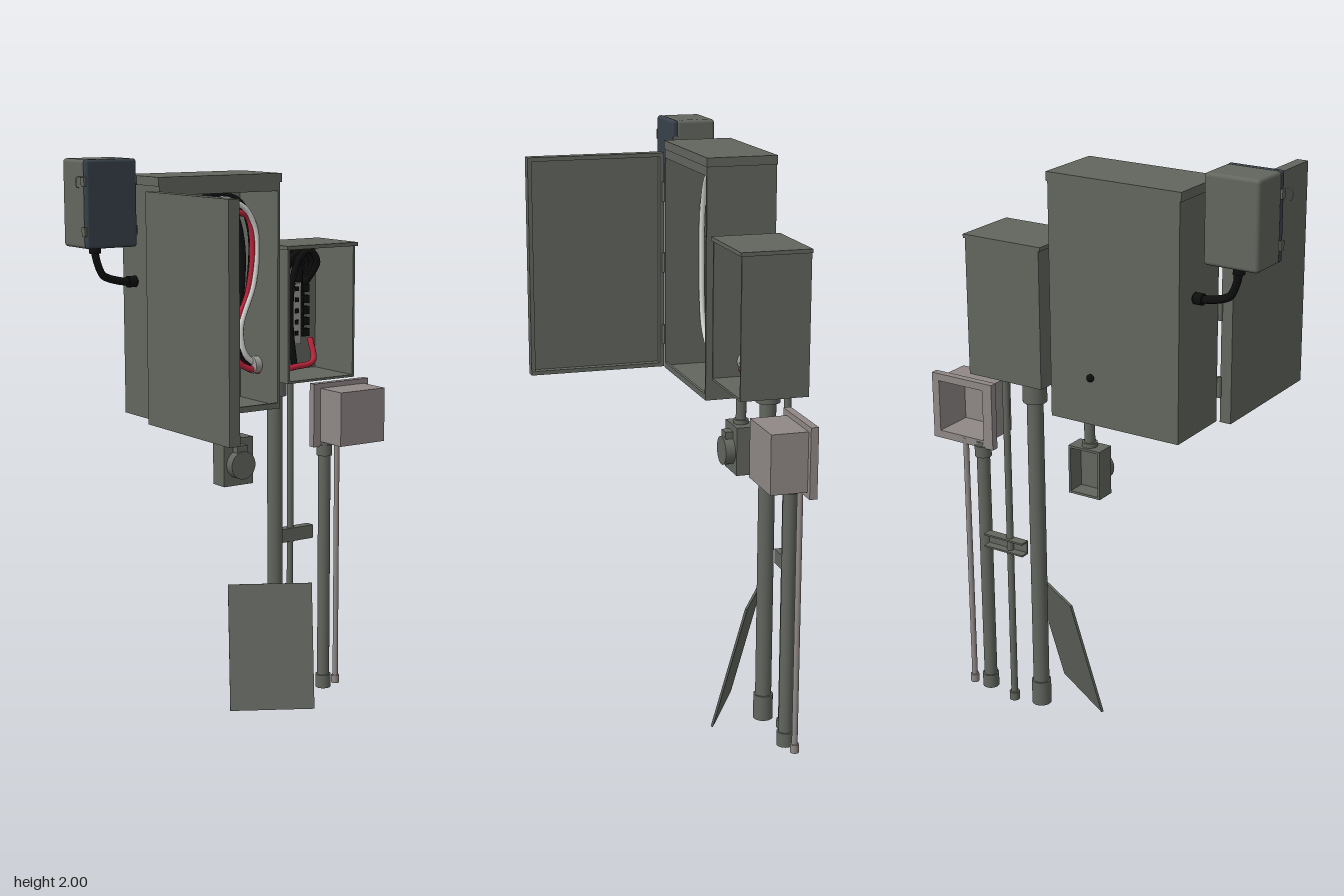
import * as THREE from 'three';
import { RoundedBoxGeometry } from 'three/addons/geometries/RoundedBoxGeometry.js';

const mat = (name, color) => {
  const m = new THREE.MeshStandardMaterial({ color });
  m.name = name;
  return m;
};

export function createModel() {
  const steel = mat('grey green steel', 0x62665e);
  const plastic = mat('warm grey plastic', 0x8f8886);
  const black = mat('black', 0x0e0e0e);
  const white = mat('white insulation', 0xd8d8d6);
  const red = mat('red insulation', 0xb8243a);
  const yellow = mat('yellow', 0xd2a81e);
  const navy = mat('dark blue grey', 0x38424b);
  const light = mat('light grey', 0x9c9a98);

  const model = new THREE.Group();

  const add = (name, geo, m, x, y, z, parent = model) => {
    const mesh = new THREE.Mesh(geo, m);
    mesh.name = name;
    mesh.position.set(x, y, z);
    parent.add(mesh);
    return mesh;
  };
  // box given by its extents
  const box = (name, m, x0, x1, y0, y1, z0, z1, parent = model) =>
    add(name, new THREE.BoxGeometry(x1 - x0, y1 - y0, z1 - z0), m, (x0 + x1) / 2, (y0 + y1) / 2, (z0 + z1) / 2, parent);
  // upright pipe
  const pipe = (name, m, x, z, y0, y1, r, parent = model) =>
    add(name, new THREE.CylinderGeometry(r, r, y1 - y0, 24), m, x, (y0 + y1) / 2, z, parent);
  // sheet box with walls of thickness t, open toward its local +z
  const openBox = (name, m, w, h, d, t, x, y, z, turn = 0) => {
    const g = new THREE.Group();
    g.name = name;
    for (const s of [-1, 1]) {
      add('sideWall', new THREE.BoxGeometry(t, h, d), m, s * (w - t) / 2, 0, 0, g);
      add('endWall', new THREE.BoxGeometry(w - 2 * t, t, d), m, 0, s * (h - t) / 2, 0, g);
    }
    add('panel', new THREE.BoxGeometry(w - 2 * t, h - 2 * t, t), m, 0, 0, (t - d) / 2, g);
    g.position.set(x, y, z);
    g.rotation.y = turn;
    model.add(g);
    return g;
  };
  const wire = (name, m, r, pts) => {
    const curve = new THREE.CatmullRomCurve3(pts.map(p => new THREE.Vector3(...p)), false, 'centripetal');
    return add(name, new THREE.TubeGeometry(curve, 56, r, 8), m, 0, 0, 0);
  };

  // main cabinet with front header and roof cap
  openBox('mainCabinet', steel, 0.48, 0.79, 0.24, 0.01, -0.125, 1.525, -0.237);
  box('cabinetRoof', steel, -0.37, 0.12, 1.91, 1.94, -0.358, -0.115);
  box('cabinetHeader', steel, -0.365, 0.115, 1.88, 1.912, -0.127, -0.117);
  box('cabinetSill', steel, -0.365, 0.115, 1.13, 1.15, -0.127, -0.117);

  // door swung open, inner side toward +x
  openBox('cabinetDoor', steel, 0.485, 0.765, 0.04, 0.014, -0.398, 1.513, 0.125, Math.PI / 2);
  for (const y of [1.25, 1.51, 1.76]) pipe('hinge', steel, -0.374, -0.118, y - 0.035, y + 0.035, 0.008);

  // smaller terminal cabinet
  openBox('sideCabinet', steel, 0.29, 0.475, 0.232, 0.008, 0.3, 1.4475, -0.242);
  box('sideCabinetLid', steel, 0.149, 0.453, 1.677, 1.69, -0.358, -0.12);

  // nipple joining the cabinets
  const nipple = pipe('cabinetNipple', light, 0.135, -0.24, 1.22, 1.33, 0.03);
  nipple.rotation.z = Math.PI / 2;
  nipple.position.set(0.135, 1.27, -0.24);
  add('rearPlug', new THREE.SphereGeometry(0.013, 12, 8), black, -0.04, 1.29, -0.36);

  // breaker assembly in the main cabinet
  box('breakerBase', black, -0.25, 0.035, 1.5, 1.69, -0.347, -0.315);
  box('breakerBody', black, -0.2, 0, 1.49, 1.67, -0.32, -0.265);
  box('lowerBreaker', black, -0.2, 0, 1.32, 1.5, -0.347, -0.28);
  box('breakerLabel', light, -0.12, 0.012, 1.462, 1.52, -0.285, -0.225);
  for (let i = 0; i < 4; i++) {
    const x = -0.178 + i * 0.052;
    box('breakerSwitch', black, x - 0.012, x + 0.012, 1.54, 1.64, -0.27, -0.252);
    box('breakerFoot', black, x - 0.014, x + 0.014, 1.29, 1.33, -0.347, -0.3);
  }
  for (const x of [-0.245, 0.03])
    for (const y of [1.53, 1.59, 1.65]) box('terminalLug', black, x - 0.014, x + 0.014, y - 0.016, y + 0.016, -0.34, -0.295);
  for (const x of [-0.175, -0.055]) box('smallTerminal', light, x - 0.01, x + 0.01, 1.38, 1.41, -0.285, -0.274);
  for (const x of [-0.172, -0.072]) box('yellowTerminal', yellow, x - 0.018, x + 0.018, 1.655, 1.7, -0.31, -0.258);

  // cabinet wiring
  const blackRuns = [
    [[-0.23, 1.66, -0.3], [-0.25, 1.76, -0.3], [-0.29, 1.82, -0.29], [-0.33, 1.72, -0.28], [-0.345, 1.45, -0.28],
      [-0.335, 1.24, -0.28], [-0.27, 1.16, -0.28], [-0.12, 1.155, -0.28], [-0.05, 1.18, -0.28], [-0.03, 1.26, -0.28]],
    [[-0.205, 1.67, -0.3], [-0.21, 1.79, -0.29], [-0.26, 1.85, -0.28], [-0.32, 1.8, -0.27]],
    [[-0.17, 1.69, -0.28], [-0.16, 1.8, -0.27], [-0.09, 1.86, -0.26], [0.04, 1.84, -0.26], [0.09, 1.74, -0.26],
      [0.085, 1.55, -0.26], [0.04, 1.38, -0.26], [0.08, 1.28, -0.25], [0.18, 1.26, -0.24]],
    [[-0.14, 1.67, -0.3], [-0.13, 1.78, -0.29], [-0.06, 1.83, -0.28], [0.03, 1.8, -0.28], [0.065, 1.7, -0.28],
      [0.06, 1.5, -0.28], [0.02, 1.36, -0.27], [0.07, 1.26, -0.25], [0.18, 1.25, -0.25]],
    [[-0.18, 1.3, -0.31], [-0.17, 1.25, -0.29], [-0.1, 1.23, -0.28], [-0.03, 1.27, -0.28]],
    [[-0.02, 1.66, -0.3], [0, 1.74, -0.3], [0.05, 1.75, -0.3], [0.07, 1.62, -0.31], [0.05, 1.45, -0.31], [0, 1.32, -0.3]],
  ];
  blackRuns.forEach(p => wire('blackWire', black, 0.013, p));
  const whiteRuns = [
    [[-0.13, 1.68, -0.29], [-0.13, 1.79, -0.28], [-0.17, 1.85, -0.26], [-0.28, 1.83, -0.25], [-0.34, 1.72, -0.25],
      [-0.35, 1.45, -0.25], [-0.325, 1.28, -0.25], [-0.25, 1.21, -0.25], [-0.12, 1.205, -0.25], [-0.05, 1.24, -0.25], [-0.03, 1.29, -0.25]],
    [[-0.1, 1.68, -0.29], [-0.1, 1.79, -0.27], [-0.05, 1.85, -0.25], [0.05, 1.82, -0.24], [0.1, 1.73, -0.24],
      [0.09, 1.56, -0.24], [0.035, 1.4, -0.24], [0.06, 1.3, -0.24], [0.14, 1.26, -0.24], [0.21, 1.27, -0.25], [0.24, 1.3, -0.27]],
  ];
  whiteRuns.forEach(p => wire('whiteWire', white, 0.01, p));
  for (const x of [-0.125, -0.105]) wire('whiteLead', white, 0.009, [[x, 1.66, -0.28], [x, 1.74, -0.27], [x + 0.01, 1.82, -0.27]]);
  wire('redWire', red, 0.011, [[-0.072, 1.69, -0.27], [-0.06, 1.76, -0.26], [0, 1.8, -0.25], [0.07, 1.79, -0.25], [0.092, 1.68, -0.25],
    [0.07, 1.52, -0.25], [0.01, 1.38, -0.25], [0.03, 1.28, -0.24], [0.13, 1.245, -0.23], [0.25, 1.25, -0.22], [0.34, 1.265, -0.23], [0.355, 1.34, -0.27]]);
  const bushing = add('wireBushing', new THREE.TorusGeometry(0.02, 0.008, 8, 20), light, -0.045, 1.28, -0.27);
  bushing.rotation.x = 0.5;

  // terminal block and wiring in the side cabinet
  box('terminalBase', black, 0.24, 0.365, 1.34, 1.54, -0.35, -0.32);
  box('terminalStrip', light, 0.285, 0.325, 1.32, 1.54, -0.325, -0.285);
  for (let i = 0; i < 5; i++) {
    const y = 1.36 + i * 0.04;
    for (const x of [0.262, 0.345]) box('terminalScrew', black, x - 0.014, x + 0.014, y - 0.014, y + 0.014, -0.325, -0.28);
    box('terminalBar', black, 0.298, 0.312, y - 0.008, y + 0.008, -0.29, -0.28);
  }
  for (let i = 0; i < 4; i++) {
    const a = i * 0.02, z = -0.3 + i * 0.022;
    wire('terminalLoop', black, 0.012, [[0.2 + a, 1.25, z], [0.182 + a, 1.4, z], [0.19 + a, 1.55, z], [0.225 + a, 1.64, z],
      [0.29 + a * 0.6, 1.66, z], [0.34 + a * 0.3, 1.62, z], [0.35, 1.53, -0.3]]);
  }
  wire('innerLoop', black, 0.012, [[0.265, 1.53, -0.3], [0.27, 1.6, -0.29], [0.305, 1.62, -0.28], [0.33, 1.53, -0.3]]);
  pipe('hubBushing', light, 0.222, -0.3, 1.215, 1.25, 0.036);
  pipe('smallHubBushing', light, 0.315, -0.335, 1.215, 1.235, 0.014);

  // conduits with couplings: x, z, top, radius, coupling radius, foot height, material
  [
    [0.222, -0.3, 1.212, 0.028, 0.034, 0.09, steel],
    [0.315, -0.335, 1.212, 0.012, 0.018, 0.03, steel],
    [0.445, -0.3, 0.95, 0.023, 0.029, 0.05, steel],
    [0.51, -0.31, 0.95, 0.01, 0.015, 0.03, plastic],
  ].forEach(([x, z, top, r, rc, foot, m]) => {
    pipe('conduit', m, x, z, 0.003, top, r);
    pipe('conduitFoot', m, x, z, 0, foot, rc);
  });
  pipe('conduitHub', steel, 0.222, -0.3, 1.14, 1.212, 0.041);
  pipe('conduitHub', steel, 0.445, -0.3, 0.895, 0.935, 0.029);

  // strut channel holding the conduits
  box('strutWeb', steel, 0.25, 0.41, 0.58, 0.63, -0.328, -0.322);
  for (const y of [0.58, 0.624]) box('strutFlange', steel, 0.25, 0.41, y, y + 0.006, -0.357, -0.324);

  // plastic enclosure open at the back, with flange
  openBox('plasticBox', plastic, 0.2, 0.198, 0.15, 0.008, 0.52, 1.048, -0.243, Math.PI);
  for (const [x0, x1, y0, y1] of [[0.39, 0.425, 0.93, 1.165], [0.615, 0.64, 0.93, 1.165], [0.425, 0.615, 0.93, 0.955], [0.425, 0.615, 1.14, 1.165]])
    box('plasticFlange', plastic, x0, x1, y0, y1, -0.318, -0.292);

  // outlet box hanging under the cabinet, open at the back
  openBox('outletBox', steel, 0.122, 0.17, 0.07, 0.008, 0.023, 0.93, -0.275, Math.PI);
  pipe('outletStem', steel, 0.022, -0.275, 1.01, 1.135, 0.018);
  pipe('outletNut', steel, 0.022, -0.275, 1.01, 1.03, 0.026);
  const cover = pipe('outletCover', steel, 0, 0, 0, 0.035, 0.05);
  cover.rotation.x = Math.PI / 2;
  cover.position.set(0.022, 0.922, -0.223);
  box('coverHinge', steel, 0, 0.044, 0.965, 0.992, -0.24, -0.212);

  // weatherproof box with dark lid and clips
  add('controlBox', new RoundedBoxGeometry(0.188, 0.285, 0.14, 3, 0.012), steel, -0.517, 1.8575, -0.248);
  add('controlLid', new RoundedBoxGeometry(0.188, 0.285, 0.024, 3, 0.01), navy, -0.517, 1.8575, -0.173);
  for (const y of [1.77, 1.93]) {
    box('lidLatch', steel, -0.617, -0.605, y - 0.015, y + 0.015, -0.185, -0.165);
    box('lidLatch', steel, -0.429, -0.42, y - 0.015, y + 0.015, -0.185, -0.165);
  }
  wire('lockClip', light, 0.002, [[-0.61, 1.945, -0.165], [-0.64, 1.945, -0.17], [-0.64, 1.915, -0.17], [-0.632, 1.912, -0.17]]);

  // black cable from control box to cabinet
  wire('controlCable', black, 0.013, [[-0.522, 1.72, -0.27], [-0.52, 1.68, -0.27], [-0.497, 1.62, -0.27], [-0.48, 1.608, -0.27], [-0.42, 1.592, -0.27], [-0.35, 1.588, -0.27]]);
  pipe('cableGland', black, -0.522, -0.27, 1.69, 1.72, 0.019);
  const gland = pipe('cableGland', black, 0, 0, 0, 0.03, 0.019);
  gland.rotation.z = Math.PI / 2;
  gland.position.set(-0.385, 1.589, -0.27);

  // loose cover leaning against the conduits
  const lean = new THREE.Group();
  lean.name = 'leaningCover';
  const panel = add('coverPanel', new THREE.BoxGeometry(0.307, 0.458, 0.008), steel, 0, 0, 0, lean);
  panel.rotation.x = -Math.atan2(0.115, 0.445);
  lean.position.set(0.155, 0.2275, -0.228);
  lean.rotation.y = -Math.atan2(0.155, 0.265);
  model.add(lean);

  return model;
}
